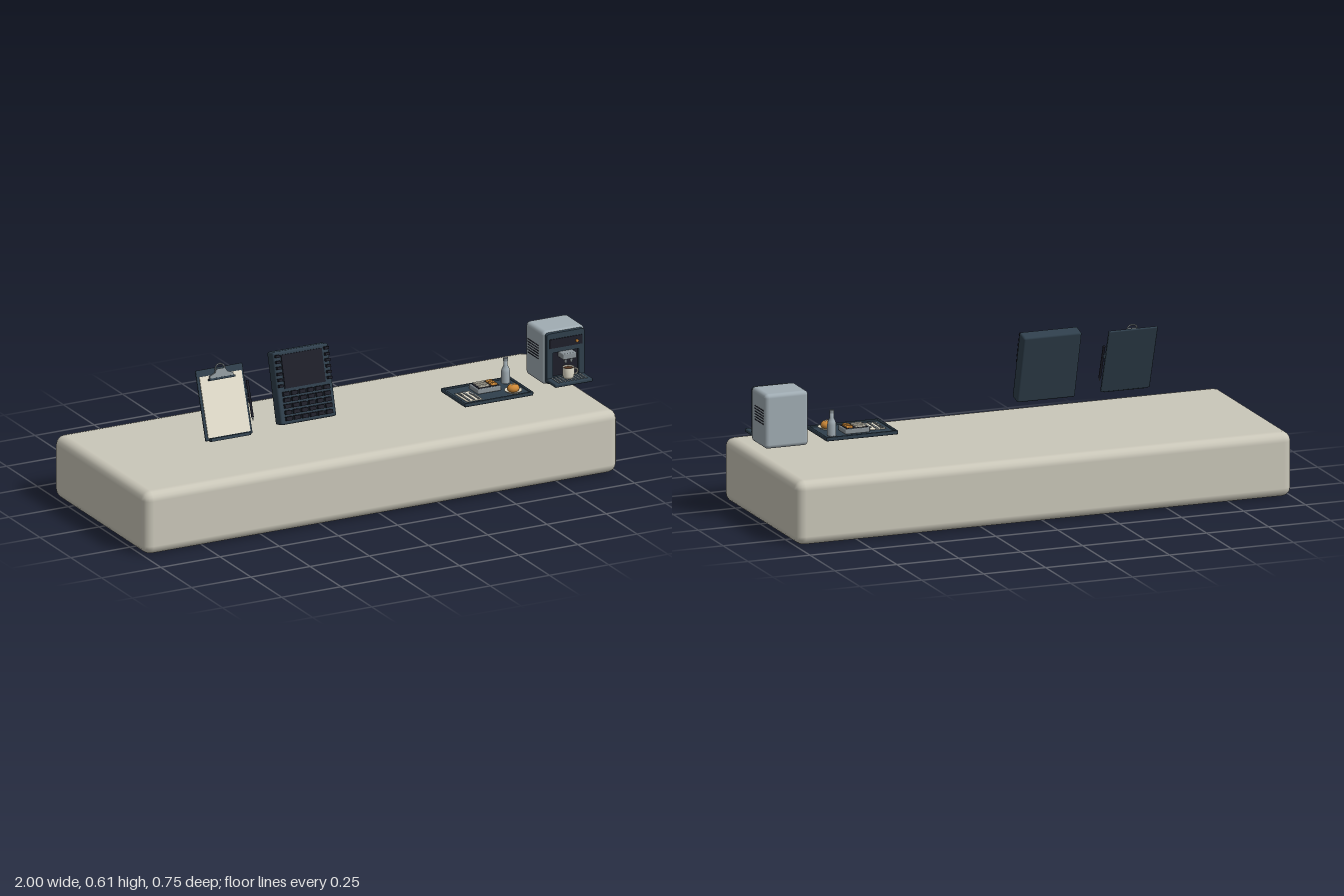
import * as THREE from 'three';
import { RoundedBoxGeometry } from 'three/addons/geometries/RoundedBoxGeometry.js';

const mat = (name, color, side = THREE.FrontSide) => {
  const m = new THREE.MeshStandardMaterial({ color, side });
  m.name = name;
  return m;
};

export function createModel() {
  const M = {
    stone: mat('stone', 0xcac7b9),
    cream: mat('cream', 0xe4dfcd),
    shell: mat('shellGrey', 0xa0acb3),
    navy: mat('navy', 0x2f3f4c),
    black: mat('black', 0x1e1f2a),
    metal: mat('metal', 0x8a9398),
    orange: mat('orange', 0xd08a38),
    brown: mat('brown', 0x54341f),
  };
  const add = (parent, name, geo, m, x, y, z) => {
    const mesh = new THREE.Mesh(geo, m);
    mesh.name = name;
    mesh.position.set(x, y, z);
    parent.add(mesh);
    return mesh;
  };
  const box = (p, name, m, w, h, d, x, y, z) => add(p, name, new THREE.BoxGeometry(w, h, d), m, x, y, z);
  const rbox = (p, name, m, w, h, d, r, x, y, z) => add(p, name, new RoundedBoxGeometry(w, h, d, 2, r), m, x, y, z);
  const cyl = (p, name, m, rt, rb, h, x, y, z) => add(p, name, new THREE.CylinderGeometry(rt, rb, h, 20), m, x, y, z);
  const lathe = (p, name, m, pts, x, y, z) =>
    add(p, name, new THREE.LatheGeometry(pts.map(a => new THREE.Vector2(...a)), 20), m, x, y, z);
  const group = (parent, name, x = 0, y = 0, z = 0, tilt = 0) => {
    const g = new THREE.Group();
    g.name = name;
    g.position.set(x, y, z);
    g.rotation.x = -tilt;
    parent.add(g);
    return g;
  };

  const root = new THREE.Group();
  root.name = 'counterSet';

  // Counter slab
  rbox(root, 'counter', M.stone, 2, 0.25, 0.75, 0.036, 0, 0.125, 0);

  // Clipboard, leaning back
  const clip = group(root, 'clipboard', -0.537, 0.333, 0.168, 0.32);
  rbox(clip, 'board', M.navy, 0.198, 0.268, 0.01, 0.004, 0, 0.134, -0.005);
  box(clip, 'paper', M.cream, 0.178, 0.232, 0.003, 0, 0.126, 0.0015);
  box(clip, 'ledge', M.navy, 0.166, 0.012, 0.02, 0, 0.002, 0.005);
  const jaw = new THREE.Shape([[-0.052, 0], [0.052, 0], [0.048, 0.014], [0.026, 0.022], [0.018, 0.036],
    [-0.018, 0.036], [-0.026, 0.022], [-0.048, 0.014]].map(a => new THREE.Vector2(...a)));
  add(clip, 'clipJaw', new THREE.ExtrudeGeometry(jaw, { depth: 0.01, bevelEnabled: false }), M.metal, 0, 0.226, 0.002);
  box(clip, 'clipBar', M.navy, 0.11, 0.008, 0.014, 0, 0.226, 0.008);
  add(clip, 'clipLoop', new THREE.TorusGeometry(0.02, 0.003, 8, 16, Math.PI), M.metal, 0, 0.26, 0.006);
  cyl(clip, 'pen', M.black, 0.005, 0.005, 0.14, 0.107, 0.13, 0);
  cyl(clip, 'penTip', M.metal, 0.004, 0.001, 0.014, 0.107, 0.053, 0);
  box(clip, 'penHolder', M.navy, 0.014, 0.02, 0.008, 0.1, 0.16, -0.004);

  // Keypad terminal, leaning back
  const term = group(root, 'terminal', -0.203, 0.345, 0.173, 0.262);
  rbox(term, 'terminalBody', M.navy, 0.234, 0.277, 0.052, 0.008, 0, 0.1385, -0.026);
  box(term, 'screen', M.black, 0.172, 0.128, 0.006, 0, 0.199, 0.002);
  for (let i = 0; i < 6; i++) {
    for (const s of [-1, 1]) box(term, 'sideKey', M.black, 0.018, 0.01, 0.013, s * 0.103, 0.148 + i * 0.0225, 0.0065);
  }
  for (let r = 0; r < 5; r++) {
    for (let c = 0; c < 6; c++) {
      box(term, 'key', M.black, 0.026, 0.015, 0.012, (c - 2.5) * 0.034, 0.022 + r * 0.0235, 0.006);
    }
  }

  // Meal tray with raised rim
  const tray = group(root, 'mealTray', 0.59, 0.293, 0.0925);
  rbox(tray, 'trayBase', M.navy, 0.29, 0.009, 0.195, 0.004, 0, 0.0045, 0);
  for (const s of [-1, 1]) {
    rbox(tray, 'trayRimLong', M.navy, 0.29, 0.012, 0.008, 0.003, 0, 0.01, s * 0.0935);
    rbox(tray, 'trayRimShort', M.navy, 0.008, 0.012, 0.195, 0.003, s * 0.141, 0.01, 0);
  }
  // Napkin and cutlery
  box(tray, 'napkin', M.cream, 0.066, 0.002, 0.1, -0.088, 0.01, 0.018);
  [-0.021, 0, 0.021].forEach((x, i) => {
    box(tray, 'cutleryHandle', M.metal, 0.006, 0.004, 0.058, x - 0.088, 0.013, 0.036);
    if (i === 0) for (const t of [-1, 0, 1]) box(tray, 'forkTine', M.metal, 0.002, 0.003, 0.034, x - 0.088 + t * 0.004, 0.013, -0.009);
    if (i === 1) box(tray, 'knifeBlade', M.metal, 0.009, 0.003, 0.038, x - 0.088, 0.013, -0.01);
    if (i === 2) cyl(tray, 'spoonBowl', M.metal, 0.008, 0.006, 0.004, x - 0.088, 0.013, -0.002).scale.z = 1.5;
  });
  // Meal box with food portions
  rbox(tray, 'mealBox', M.metal, 0.1, 0.02, 0.074, 0.004, 0.003, 0.019, -0.022);
  box(tray, 'mealBoxInside', M.black, 0.088, 0.002, 0.062, 0.003, 0.029, -0.022);
  for (let i = 0; i < 3; i++) {
    rbox(tray, 'riceStrip', M.cream, 0.044, 0.008, 0.013, 0.003, -0.013, 0.033, -0.042 + i * 0.019);
    rbox(tray, 'vegetable', M.orange, 0.026, 0.01, 0.014, 0.004, 0.03, 0.033, -0.042 + i * 0.019);
  }
  // Plate with bread roll
  lathe(tray, 'plate', M.cream, [[0, 0], [0.022, 0], [0.034, 0.008], [0.034, 0.01], [0.022, 0.005], [0, 0.005]], 0.084, 0.009, 0.05);
  const roll = add(tray, 'breadRoll', new THREE.SphereGeometry(0.024, 18, 12), M.orange, 0.084, 0.025, 0.05);
  roll.scale.set(1, 0.75, 0.9);
  for (const s of [-1, 0, 1]) box(tray, 'rollScore', M.cream, 0.003, 0.002, 0.016, 0.084 + s * 0.008, 0.0425 - Math.abs(s) * 0.0012, 0.05);
  // Bottle
  lathe(tray, 'bottle', M.shell, [[0, 0], [0.016, 0], [0.017, 0.004], [0.017, 0.045], [0.014, 0.058], [0.008, 0.07],
    [0.008, 0.09], [0, 0.09]], 0.106, 0.009, -0.054);
  cyl(tray, 'bottleCap', M.metal, 0.009, 0.009, 0.012, 0.106, 0.103, -0.054);

  // Coffee machine
  const cm = group(root, 'coffeeMachine', 0.905, 0.294, 0);
  rbox(cm, 'machineBody', M.shell, 0.176, 0.212, 0.147, 0.016, 0, 0.106, 0.0385);
  for (let i = 0; i < 6; i++) {
    for (const s of [-1, 1]) box(cm, 'vent', M.black, 0.002, 0.004, 0.086, s * 0.0882, 0.094 + i * 0.0105, 0.028);
  }
  // Front panel with brewing recess
  const w = 0.08, h = 0.2, r = 0.014;
  const face = new THREE.Shape();
  face.moveTo(-w + r, 0).lineTo(w - r, 0).quadraticCurveTo(w, 0, w, r).lineTo(w, h - r).quadraticCurveTo(w, h, w - r, h)
    .lineTo(-w + r, h).quadraticCurveTo(-w, h, -w, h - r).lineTo(-w, r).quadraticCurveTo(-w, 0, -w + r, 0);
  face.holes.push(new THREE.Path([[-0.055, 0.026], [-0.055, 0.122], [0.055, 0.122], [0.055, 0.026]].map(a => new THREE.Vector2(...a))));
  add(cm, 'frontPanel', new THREE.ExtrudeGeometry(face, { depth: 0.016, bevelEnabled: false, curveSegments: 5 }), M.navy, 0, 0.006, 0.109);
  box(cm, 'recessBack', M.black, 0.112, 0.1, 0.003, 0, 0.08, 0.1125);
  box(cm, 'display', M.black, 0.136, 0.036, 0.004, 0, 0.165, 0.126);
  const knob = cyl(cm, 'button', M.orange, 0.006, 0.006, 0.006, 0.045, 0.163, 0.13);
  knob.rotation.x = Math.PI / 2;
  // Brew head and spouts
  rbox(cm, 'brewHead', M.metal, 0.058, 0.024, 0.045, 0.004, 0, 0.118, 0.138);
  for (const s of [-1, 1]) cyl(cm, 'spout', M.metal, 0.007, 0.005, 0.018, s * 0.012, 0.099, 0.146);
  // Drip tray with grate
  rbox(cm, 'dripTray', M.navy, 0.16, 0.014, 0.088, 0.005, 0, 0.021, 0.15);
  for (let i = 0; i < 9; i++) box(cm, 'grateBar', M.metal, 0.006, 0.003, 0.06, (i - 4) * 0.0145, 0.0285, 0.152);
  // Cup
  lathe(cm, 'cup', M.cream, [[0, 0], [0.018, 0], [0.022, 0.01], [0.023, 0.043], [0.02, 0.043], [0.019, 0.036]], -0.002, 0.03, 0.15);
  cyl(cm, 'coffee', M.brown, 0.0195, 0.0195, 0.002, -0.002, 0.067, 0.15);
  add(cm, 'cupHandle', new THREE.TorusGeometry(0.011, 0.003, 8, 14), M.cream, 0.026, 0.052, 0.15);

  return root;
}
